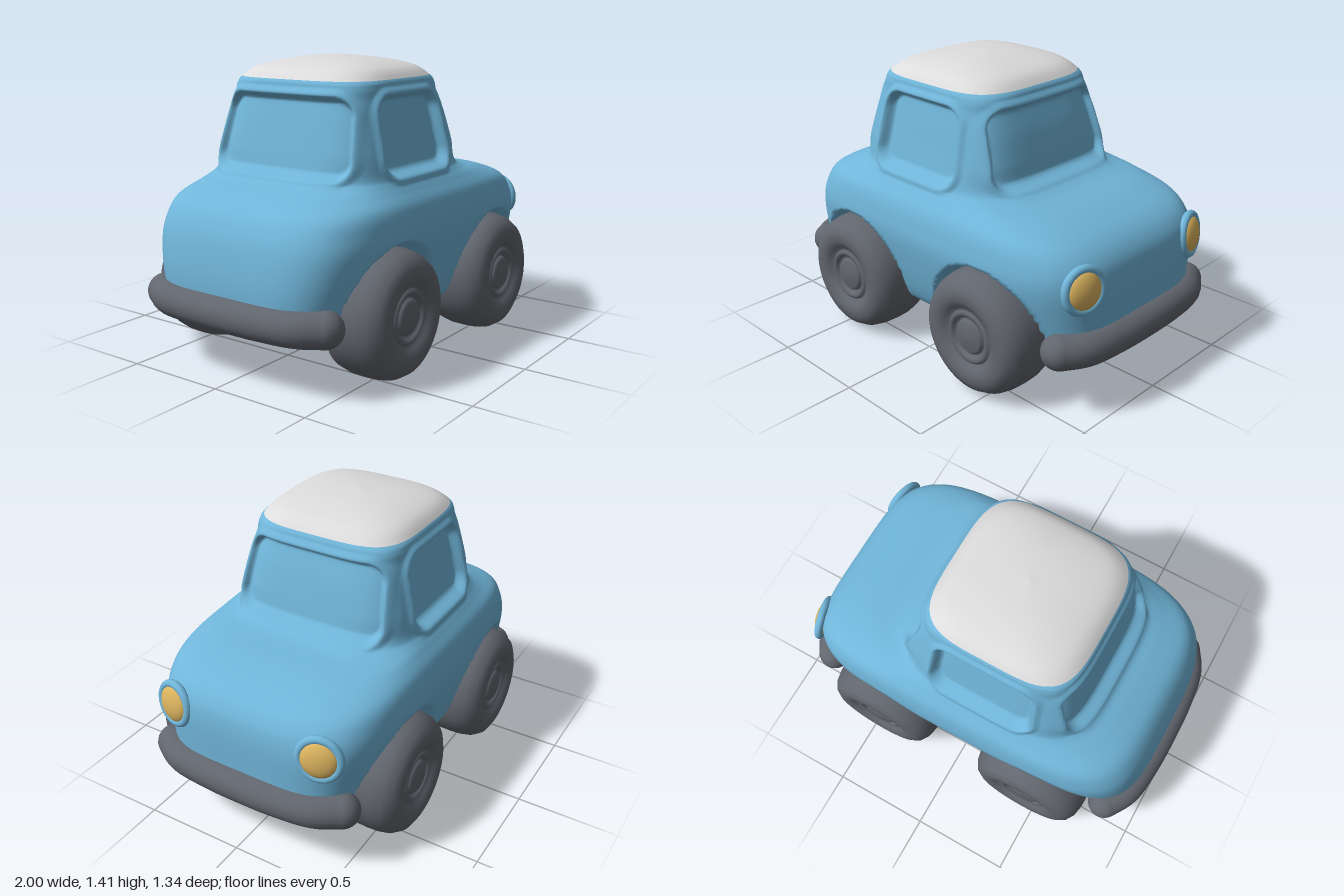
import * as THREE from 'three';

const paint = (name, color) => {
  const m = new THREE.MeshStandardMaterial({ color });
  m.name = name;
  return m;
};
const { smoothstep } = THREE.MathUtils;

// Body cross-sections, bottom to top: [y, rear x, front x, half width, squareness]
const SECTIONS = [
  [0.22, -0.78, 0.78, 0.44, 4],
  [0.25, -0.88, 0.87, 0.5, 4],
  [0.32, -0.925, 0.92, 0.54, 4.5],
  [0.45, -0.935, 0.925, 0.575, 4.5],
  [0.6, -0.915, 0.92, 0.6, 4.5],
  [0.7, -0.88, 0.89, 0.592, 4.5],
  [0.775, -0.82, 0.81, 0.57, 4.5],
  [0.83, -0.71, 0.66, 0.53, 4],
  [0.865, -0.62, 0.47, 0.503, 4],
  [0.9, -0.59, 0.41, 0.485, 4],
  [1.0, -0.565, 0.38, 0.46, 4.5],
  [1.12, -0.535, 0.345, 0.433, 4.5],
  [1.23, -0.505, 0.305, 0.408, 4.5],
  [1.285, -0.495, 0.295, 0.398, 4.5],
  [1.32, -0.482, 0.278, 0.385, 4],
  [1.37, -0.41, 0.21, 0.325, 3.5],
  [1.405, -0.26, 0.06, 0.19, 2.6],
  [1.42, -0.1, -0.1, 0, 2],
];
const ROOF_SECTION = 14;
const WHEEL_X = 0.435, WHEEL_Y = 0.305;

// Signed distance to a rounded window outline that narrows towards the top
function windowDistance(across, y, halfBottom, halfTop) {
  const y0 = 0.89, y1 = 1.255, r = 0.09;
  const k = THREE.MathUtils.clamp((y - y0) / (y1 - y0), 0, 1);
  const qx = Math.abs(across) - (halfBottom + (halfTop - halfBottom) * k) + r;
  const qy = Math.abs(y - (y0 + y1) / 2) - (y1 - y0) / 2 + r;
  return Math.hypot(Math.max(qx, 0), Math.max(qy, 0)) + Math.min(Math.max(qx, qy), 0) - r;
}

// Sunken pane with a slightly raised frame
function windowRelief(d) {
  const frame = smoothstep(d, -0.015, 0.008) * (1 - smoothstep(d, 0.008, 0.04));
  return 0.014 * frame - 0.04 * smoothstep(-d, 0, 0.03);
}

function bodyGeometry() {
  const sub = 8, around = 320;
  const spline = (pick) =>
    new THREE.CatmullRomCurve3(SECTIONS.map((s) => new THREE.Vector3(...pick(s))), false, 'catmullrom', 0.5);
  const extent = spline((s) => [s[0], s[1], s[2]]);
  const shape = spline((s) => [s[3], s[4], 0]);
  const steps = (SECTIONS.length - 1) * sub;
  const rows = [[0.22, 0, 0, 0, 4]];
  for (let i = 0; i <= steps; i++) {
    const e = extent.getPoint(i / steps), s = shape.getPoint(i / steps);
    rows.push([e.x, e.y, e.z, Math.max(s.x, 0), s.y]);
  }

  const positions = [], index = [];
  rows.forEach(([y, x0, x1, w, n], row) => {
    for (let j = 0; j < around; j++) {
      const a = (j / around) * Math.PI * 2, c = Math.cos(a), s = Math.sin(a);
      const r = (Math.abs(c) ** n + Math.abs(s) ** n) ** (-1 / n);
      const u = c * r, v = s * r;
      let x = (x0 + x1) / 2 + (u * (x1 - x0)) / 2, z = v * w;
      // window recesses
      if (y > 0.84 && y < 1.31) {
        const side = windowRelief(windowDistance(x + 0.1, y, 0.275, 0.25));
        const end = windowRelief(windowDistance(z, y, 0.4, 0.355));
        if (Math.abs(v) > 0.8 && Math.abs(u) < 0.75) z += Math.sign(v) * side;
        else if (Math.abs(u) > 0.7) x += Math.sign(u) * end;
      }
      // wheel arches
      if (row > 0 && y < 0.68 && Math.abs(v) > 0.7) {
        const d = Math.hypot(Math.abs(x) - WHEEL_X, y - WHEEL_Y);
        z -= Math.sign(v) * 0.1 * (1 - smoothstep(d, 0.298, 0.325));
      }
      positions.push(x, y, z);
    }
  });
  for (let i = 0; i < rows.length - 1; i++) {
    for (let j = 0; j < around; j++) {
      const k = (j + 1) % around;
      const a = i * around + j, b = i * around + k, c = a + around, d = b + around;
      index.push(a, c, b, b, c, d);
    }
  }
  const g = new THREE.BufferGeometry();
  g.setAttribute('position', new THREE.Float32BufferAttribute(positions, 3));
  g.setIndex(index);
  g.computeVertexNormals();
  const split = (1 + ROOF_SECTION * sub) * around * 6;
  g.addGroup(0, split, 0);
  g.addGroup(split, index.length - split, 1);
  return g;
}

// Tyre with hub, outer face towards +z
function wheelGeometry() {
  const tyre = [
    [0, 0.33], [0.2, 0.33], [0.25, 0.345], [0.285, 0.385], [0.298, 0.44], [0.3, 0.5], [0.298, 0.555],
    [0.288, 0.605], [0.262, 0.647], [0.225, 0.667], [0.185, 0.669], [0.15, 0.655], [0.135, 0.635],
    [0.128, 0.645], [0.115, 0.652], [0.1, 0.645], [0.09, 0.622], [0.083, 0.64], [0.07, 0.652], [0, 0.658],
  ].map((p) => new THREE.Vector2(...p));
  return new THREE.LatheGeometry(tyre, 56).rotateX(Math.PI / 2);
}

export function createModel() {
  const car = new THREE.Group();
  const blue = paint('blue paint', 0x70b5d9);
  const white = paint('white roof', 0xdcdcdc);
  const grey = paint('dark grey rubber', 0x62666e);
  const amber = paint('amber lamp', 0xdcb45f);
  const add = (name, geometry, material, parent = car) => {
    const m = new THREE.Mesh(geometry, material);
    m.name = name;
    parent.add(m);
    return m;
  };

  add('bodyAndRoof', bodyGeometry(), [blue, white]);

  // Wheels
  const wheel = wheelGeometry();
  for (const x of [WHEEL_X, -WHEEL_X]) {
    for (const side of [1, -1]) {
      const m = add(x > 0 ? 'frontWheel' : 'rearWheel', wheel, grey);
      m.position.set(x, WHEEL_Y, 0);
      if (side < 0) m.rotation.y = Math.PI;
    }
  }

  // Bumpers: bowed bars with round ends
  const path = new THREE.CatmullRomCurve3(
    [[0.825, -0.475], [0.885, -0.37], [0.91, -0.2], [0.916, 0], [0.91, 0.2], [0.885, 0.37], [0.825, 0.475]]
      .map(([x, z]) => new THREE.Vector3(x, 0.325, z)));
  const bar = new THREE.TubeGeometry(path, 48, 0.084, 20);
  const cap = new THREE.SphereGeometry(0.084, 24, 16);
  for (const name of ['frontBumper', 'rearBumper']) {
    const bumper = new THREE.Group();
    bumper.name = name;
    add('bumperBar', bar, grey, bumper);
    for (const z of [-0.475, 0.475]) add('bumperEnd', cap, grey, bumper).position.set(0.825, 0.325, z);
    if (name === 'rearBumper') bumper.rotation.y = Math.PI;
    car.add(bumper);
  }

  // Headlights, turned slightly outwards
  for (const side of [1, -1]) {
    const lamp = new THREE.Group();
    lamp.name = side > 0 ? 'rightHeadlight' : 'leftHeadlight';
    add('lens', new THREE.SphereGeometry(0.092, 32, 20).scale(1, 1, 0.45), amber, lamp);
    add('lampRim', new THREE.TorusGeometry(0.096, 0.02, 14, 40), blue, lamp);
    lamp.position.set(0.882, 0.615, 0.395 * side);
    lamp.rotation.set(0, Math.PI / 2 - 0.24 * side, 0);
    lamp.rotateX(-0.12);
    car.add(lamp);
  }
  return car;
}
